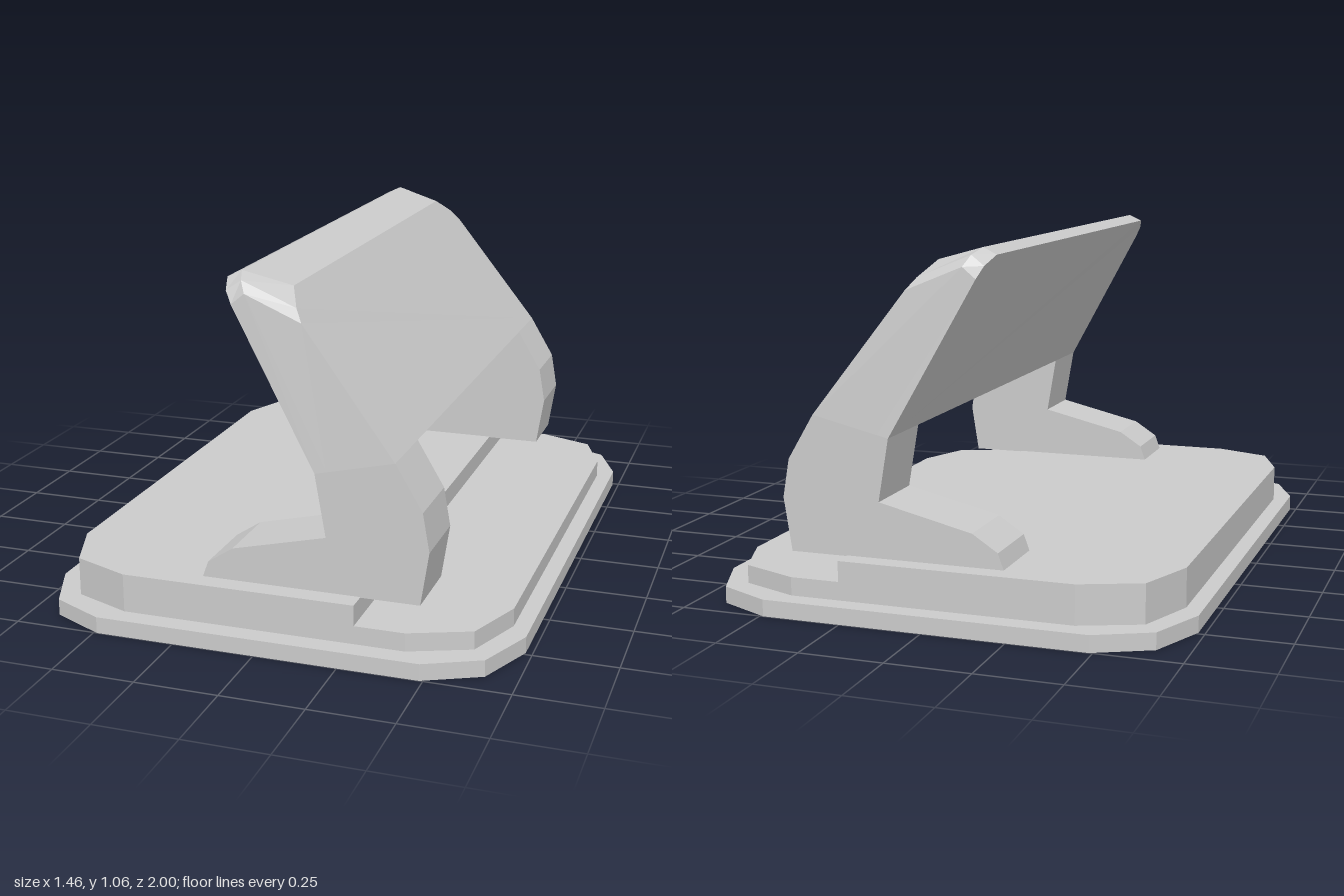
import * as THREE from 'three';

const material = new THREE.MeshStandardMaterial({ color: 0xcccccc, flatShading: true });

function addMesh(group, name, geometry) {
  const mesh = new THREE.Mesh(geometry, material);
  mesh.name = name;
  group.add(mesh);
  return mesh;
}

function extrude(points, depth) {
  const shape = new THREE.Shape(points.map(([x, y]) => new THREE.Vector2(x, y)));
  return new THREE.ExtrudeGeometry(shape, { depth, bevelEnabled: false });
}

// Horizontal plate from an (x, z) outline, between two heights
const plate = (points, y0, y1) =>
  extrude(points, y1 - y0).rotateX(-Math.PI / 2).translate(0, y0, 0);

// Half outline (from +z to -z) with two-facet corners, side = +1 or -1 in x
function halfOutline(corner, side) {
  const pts = corner.map(([x, z]) => [side * x, z]);
  return [...pts, ...pts.map(([x, z]) => [x, -z]).reverse()];
}

// Tilted panel: front, ridge and back rails given from bottom to top as [x, y, z],
// each mirrored into an arch running from -z to +z
function panelGeometry(rails) {
  const arches = rails.map(rail => [
    ...rail.map(([x, y, z]) => [x, y, -z]),
    ...rail.slice().reverse(),
  ]);
  const n = arches[0].length;
  const pos = [];
  const tri = (...corners) => corners.forEach(c => pos.push(...c));

  // Rim strips, closing across the underside
  for (let r = 0; r < arches.length - 1; r++) {
    const a = arches[r], b = arches[r + 1];
    for (let i = 0; i < n; i++) {
      const j = (i + 1) % n;
      tri(a[i], b[i], b[j]);
      tri(a[i], b[j], a[j]);
    }
  }
  // Front and back faces
  const front = arches[0], back = arches[arches.length - 1];
  for (let i = 1; i < n - 1; i++) {
    tri(front[0], front[i], front[i + 1]);
    tri(back[0], back[i + 1], back[i]);
  }
  const geometry = new THREE.BufferGeometry();
  geometry.setAttribute('position', new THREE.Float32BufferAttribute(pos, 3));
  geometry.computeVertexNormals();
  return geometry;
}

export function createModel() {
  const model = new THREE.Group();
  model.name = 'bracketOnBase';

  // Bottom plate
  const rim = [[0.49, 1], [0.655, 0.92], [0.73, 0.74]];
  addMesh(model, 'basePlate',
    plate([...halfOutline(rim, 1), ...halfOutline(rim, -1).reverse()], 0, 0.05));

  // Stepped deck: high on the right, low strip on the left
  const deck = [[0.43, 0.937], [0.61, 0.865], [0.68, 0.68]];
  const step = 0.28;
  addMesh(model, 'raisedDeck',
    plate([[step, 0.937], ...halfOutline(deck, -1), [step, -0.937]], 0.05, 0.167));
  addMesh(model, 'loweredDeck',
    plate([[step, 0.937], ...halfOutline(deck, 1), [step, -0.937]], 0.05, 0.105));

  // Pair of legs with long feet
  const legProfile = [
    [-0.203, 0.165], [0.455, 0.165], [0.48, 0.325], [0.46, 0.44], [0.38, 0.575],
    [0.145, 0.52], [0.177, 0.333], [-0.108, 0.265], [-0.185, 0.215],
  ];
  const legWidth = 0.22;
  for (const [name, z] of [['frontLeg', 0.655], ['backLeg', -0.875]]) {
    addMesh(model, name, extrude(legProfile, legWidth)).position.z = z;
  }

  // Leaning panel joining the legs
  addMesh(model, 'tiltedPanel', panelGeometry([
    [[0.38, 0.575, 0.875], [0.1, 0.94, 0.845], [0.075, 0.975, 0.815], [0.04, 1.02, 0.74]],
    [[0.18, 0.528, 0.875], [-0.07, 1.01, 0.84], [-0.088, 1.042, 0.815], [-0.105, 1.06, 0.765]],
    [[0.145, 0.52, 0.875], [-0.11, 0.977, 0.84], [-0.13, 1.013, 0.825], [-0.147, 1.04, 0.77]],
  ]));

  return model;
}
